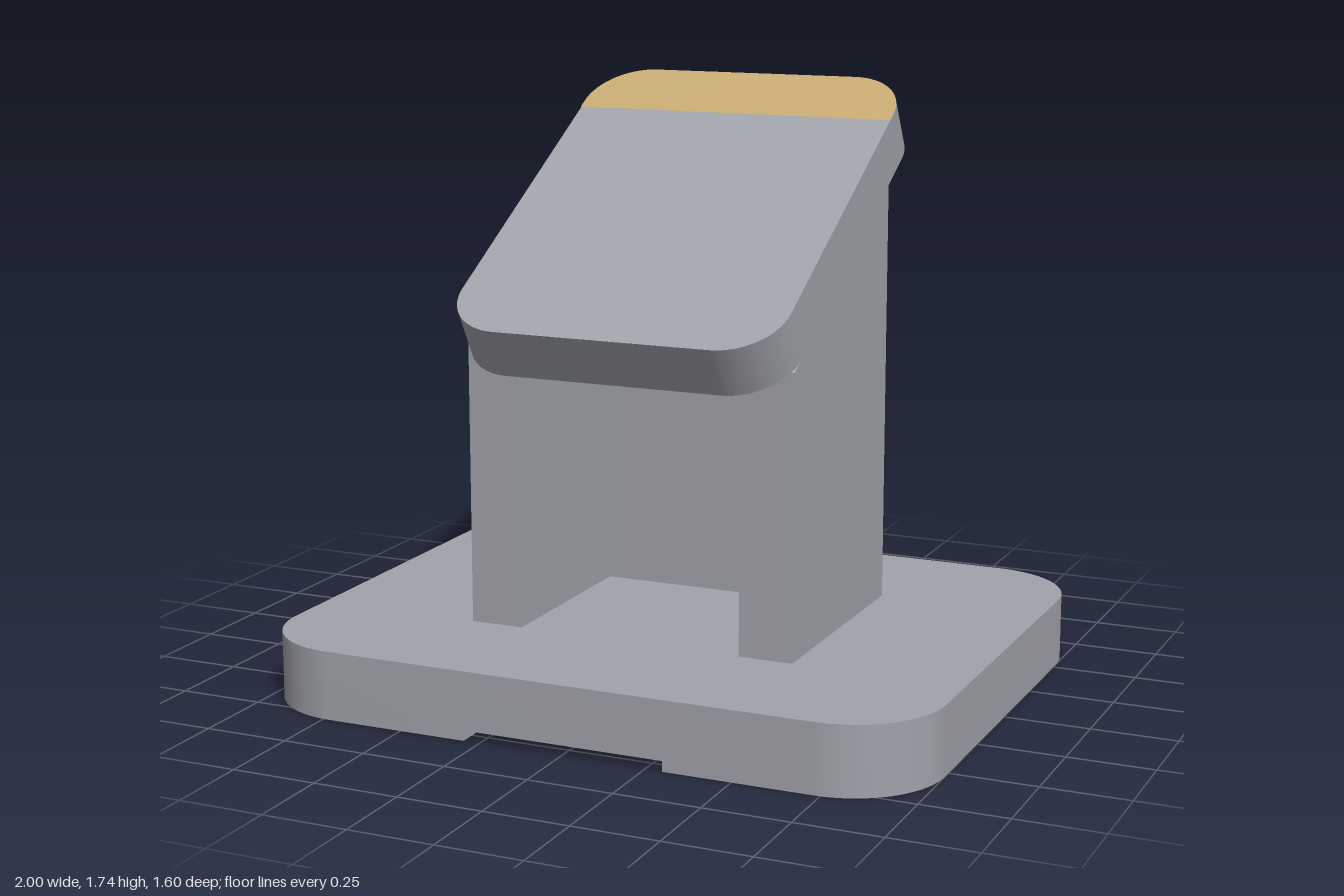
import * as THREE from 'three';
import { toCreasedNormals } from 'three/addons/utils/BufferGeometryUtils.js';

const grey = new THREE.MeshStandardMaterial({ name: 'body grey', color: 0xa0a3aa });
const gold = new THREE.MeshStandardMaterial({ name: 'strip gold', color: 0xc8aa72 });

const SLOPE = Math.PI / 6;
const TOP_Y = 1.418; // height of the sloped top at z = 0
const THICK = 0.16;

// Rectangle with its own radius at each corner: [low left, low right, high right, high left]
function roundedShape(x0, y0, x1, y1, [a, b, c, d]) {
  const s = new THREE.Shape();
  s.moveTo(x0 + a, y0);
  s.lineTo(x1 - b, y0);
  if (b) s.absarc(x1 - b, y0 + b, b, -Math.PI / 2, 0, false);
  s.lineTo(x1, y1 - c);
  if (c) s.absarc(x1 - c, y1 - c, c, 0, Math.PI / 2, false);
  s.lineTo(x0 + d, y1);
  if (d) s.absarc(x0 + d, y1 - d, d, Math.PI / 2, Math.PI, false);
  s.lineTo(x0, y0 + a);
  if (a) s.absarc(x0 + a, y0 + a, a, Math.PI, Math.PI * 1.5, false);
  return s;
}

function extrude(shape, depth) {
  const g = new THREE.ExtrudeGeometry(shape, { depth, bevelEnabled: false, curveSegments: 16 });
  return toCreasedNormals(g, 0.5);
}

function add(parent, name, geometry, material = grey) {
  const mesh = new THREE.Mesh(geometry, material);
  mesh.name = name;
  parent.add(mesh);
  return mesh;
}

// Upright wall whose top follows the underside of the sloped plate
function wall(zFront, zBack, x0, x1) {
  const under = (z) => TOP_Y - THICK / Math.cos(SLOPE) - z * Math.tan(SLOPE);
  const s = new THREE.Shape();
  s.moveTo(-zFront, 0.2);
  s.lineTo(-zBack, 0.2);
  s.lineTo(-zBack, under(zBack));
  s.lineTo(-zFront, under(zFront));
  s.closePath();
  return extrude(s, x1 - x0).rotateY(Math.PI / 2).translate(x0, 0, 0);
}

export function createModel() {
  const model = new THREE.Group();
  model.name = 'slopedStand';

  // Base slab with a shallow groove running front to back underneath
  const base = new THREE.Group();
  base.name = 'base';
  model.add(base);
  const R = 0.27;
  add(base, 'baseSlab', extrude(roundedShape(-1, -0.8, 1, 0.8, [R, R, R, R]), 0.17)
    .rotateX(-Math.PI / 2).translate(0, 0.03, 0));
  add(base, 'leftFoot', extrude(roundedShape(0.3, -0.8, 1, 0.8, [0, R, R, 0]), 0.03)
    .rotateX(-Math.PI / 2));
  add(base, 'rightFoot', extrude(roundedShape(-1, -0.8, -0.3, 0.8, [R, 0, 0, R]), 0.03)
    .rotateX(-Math.PI / 2));

  // Column, open at the front
  const column = new THREE.Group();
  column.name = 'column';
  model.add(column);
  add(column, 'leftWall', wall(0.37, -0.365, 0.34, 0.5));
  add(column, 'rightWall', wall(0.37, -0.365, -0.5, -0.34));
  add(column, 'backWall', wall(-0.22, -0.365, -0.34, 0.34));

  // Sloped plate with a gold strip along its upper edge
  const plate = new THREE.Group();
  plate.name = 'slopedPlate';
  plate.position.y = TOP_Y;
  plate.rotation.x = SLOPE - Math.PI / 2;
  model.add(plate);
  const L = 0.635, r = 0.175;
  add(plate, 'plate', extrude(roundedShape(-0.5, -L, 0.5, L, [r, r, r, r]), THICK)
    .translate(0, 0, -THICK));
  const strip = new THREE.ShapeGeometry(roundedShape(-0.5, 0.425, 0.5, L, [0, 0, r, r]), 16);
  add(plate, 'goldStrip', strip.translate(0, 0, 0.003), gold);

  return model;
}
